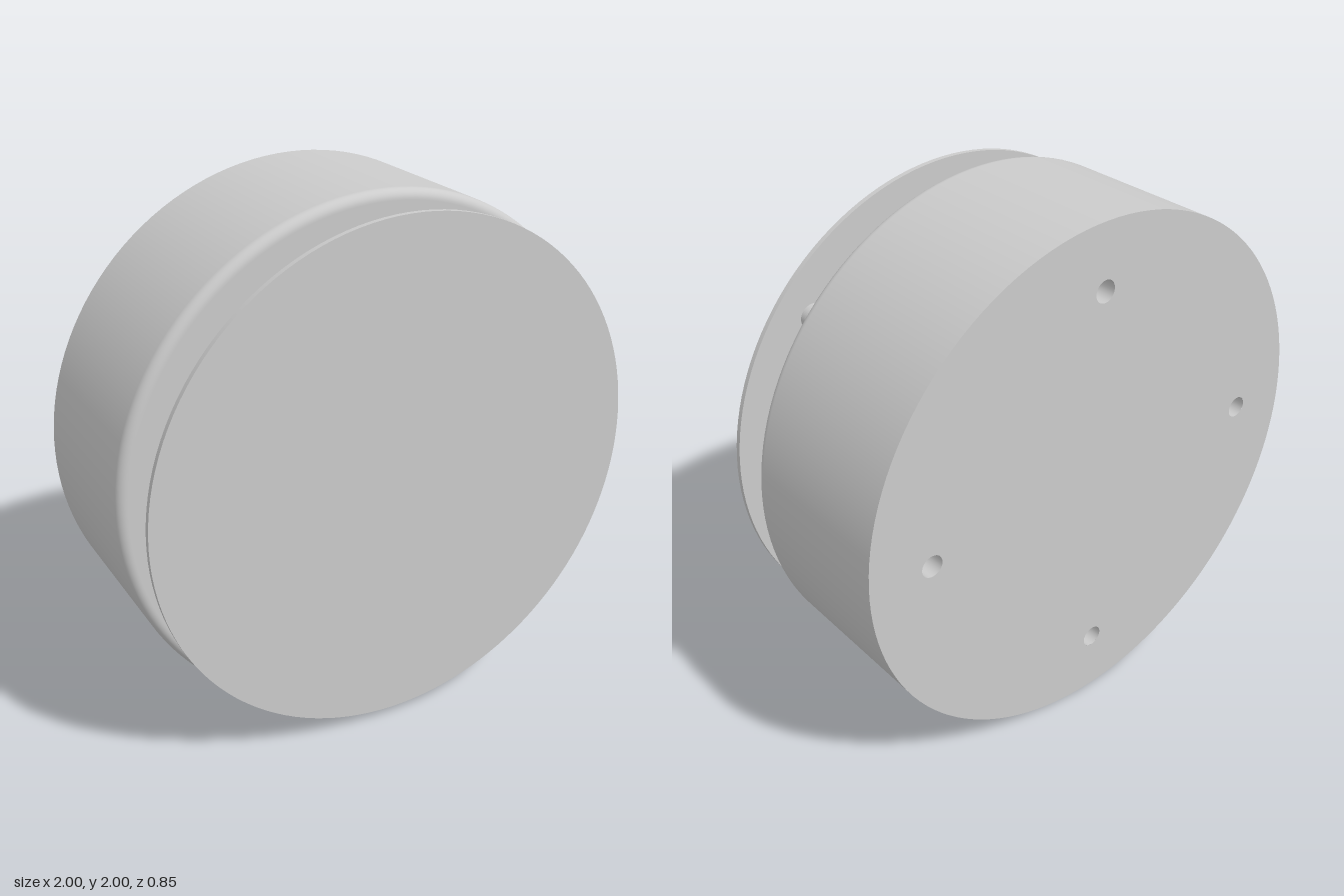
import * as THREE from 'three';

const SEG = 128;
const BACK = -0.425, FRONT = 0.235;
const grey = new THREE.MeshStandardMaterial({ color: 0xcccccc });
const inner = new THREE.MeshStandardMaterial({ color: 0xcccccc, side: THREE.BackSide });

function add(parent, name, geometry, material = grey) {
  const mesh = new THREE.Mesh(geometry, material);
  mesh.name = name;
  parent.add(mesh);
  return mesh;
}

// Cylinder along z between two depths
function disc(parent, name, radius, z0, z1, seg = 48) {
  const g = new THREE.CylinderGeometry(radius, radius, z1 - z0, seg).rotateX(Math.PI / 2);
  return add(parent, name, g.translate(0, 0, (z0 + z1) / 2));
}

// Stadium outline around the segment a-b
function slotShape(a, b, r) {
  const t = Math.atan2(b[1] - a[1], b[0] - a[0]);
  const s = new THREE.Shape();
  s.absarc(b[0], b[1], r, t - Math.PI / 2, t + Math.PI / 2, false);
  s.absarc(a[0], a[1], r, t + Math.PI / 2, t + 1.5 * Math.PI, false);
  s.closePath();
  return s;
}

export function createModel() {
  const model = new THREE.Group();
  model.name = 'roundHousing';
  const body = new THREE.Group();
  body.name = 'body';
  body.position.y = 1;
  model.add(body);

  // Drum wall with rounded front edge and flat front face
  const f = 0.035;
  const profile = [new THREE.Vector2(1, BACK), new THREE.Vector2(1, FRONT - f - 0.002)];
  for (let i = 0; i <= 10; i++) {
    const a = (i / 10) * Math.PI / 2;
    profile.push(new THREE.Vector2(1 - f + f * Math.cos(a), FRONT - f + f * Math.sin(a)));
  }
  profile.push(new THREE.Vector2(1 - f - 0.003, FRONT), new THREE.Vector2(0, FRONT));
  add(body, 'drum', new THREE.LatheGeometry(profile, SEG).rotateX(Math.PI / 2));

  // Back face with four blind screw holes
  const holeR = 0.042, depth = 0.12;
  const back = new THREE.Shape().absarc(0, 0, 1, 0, Math.PI * 2, false);
  for (let i = 0; i < 4; i++) {
    const a = i * Math.PI / 2, x = 0.75 * Math.cos(a), y = 0.75 * Math.sin(a);
    back.holes.push(new THREE.Path().absarc(x, y, holeR, 0, Math.PI * 2, true));
    const wall = new THREE.CylinderGeometry(holeR, holeR, depth, 24, 1, true).rotateX(Math.PI / 2);
    add(body, 'screwHoleWall', wall, inner).position.set(x, y, BACK + depth / 2);
    const floor = new THREE.CircleGeometry(holeR, 24).rotateY(Math.PI);
    add(body, 'screwHoleFloor', floor).position.set(x, y, BACK + depth);
  }
  add(body, 'backFace', new THREE.ShapeGeometry(back, SEG / 2).rotateY(Math.PI).translate(0, 0, BACK));

  // Front cover plate held off the drum
  disc(body, 'frontPlate', 0.97, 0.405, 0.425, SEG);

  // Mirrored slot-shaped posts carrying the plate
  for (const s of [1, -1]) {
    const posts = {
      upperPost: slotShape([s * 0.56, 0.465], [s * 0.61, 0.54], 0.05),
      lowerPost: slotShape([s * 0.6, -0.425], [s * 0.735, -0.425], 0.05),
    };
    for (const [name, shape] of Object.entries(posts)) {
      const g = new THREE.ExtrudeGeometry(shape, { depth: 0.18, bevelEnabled: false, curveSegments: 16 });
      add(body, name, g.translate(0, 0, FRONT - 0.005));
    }
  }

  // Stepped button between plate and drum
  const button = new THREE.Group();
  button.name = 'button';
  button.position.y = -0.5;
  body.add(button);
  disc(button, 'buttonFlange', 0.138, FRONT - 0.005, 0.25);
  disc(button, 'buttonCollar', 0.098, 0.245, 0.318);
  disc(button, 'buttonCap', 0.078, 0.31, 0.373);

  return model;
}
